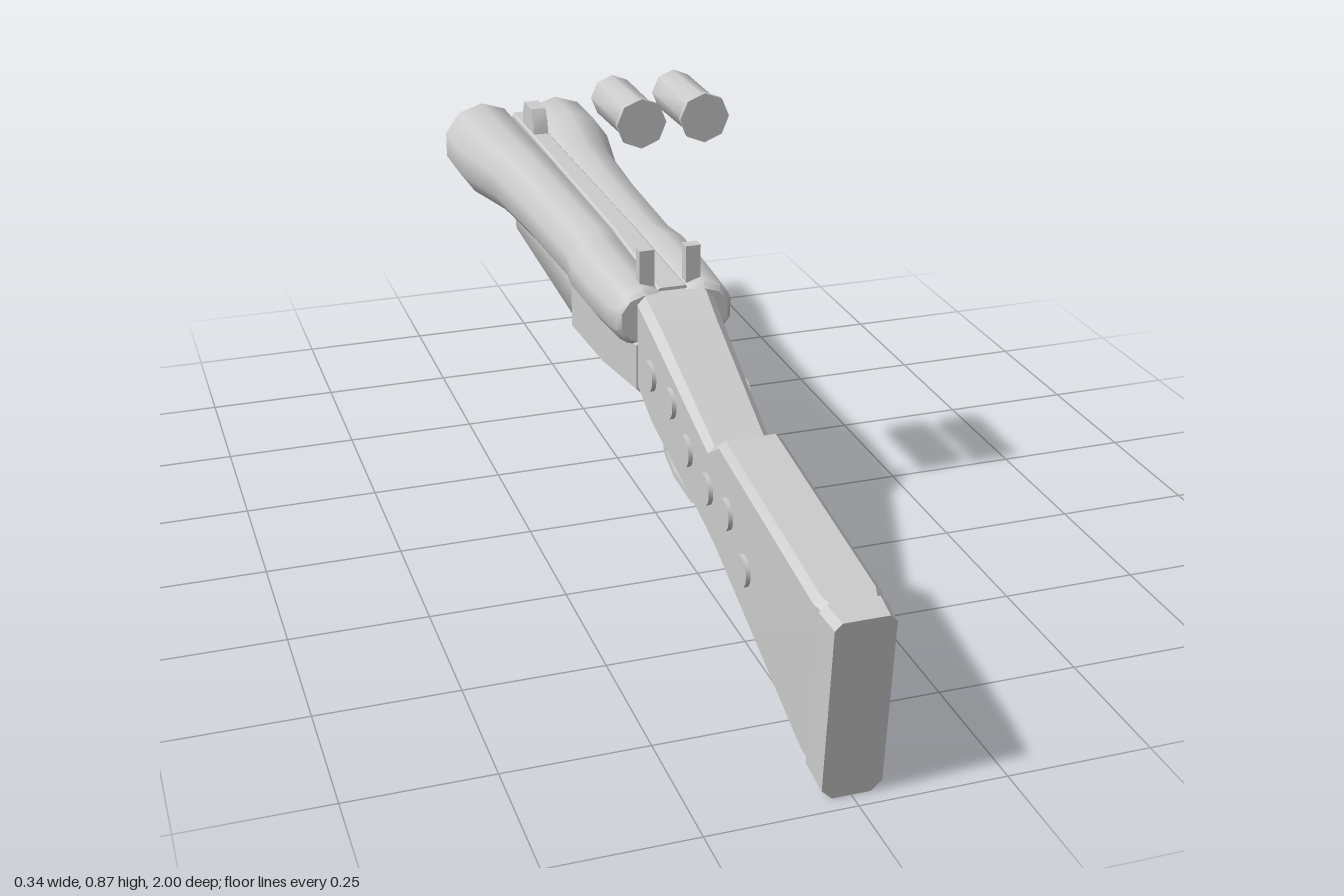
import * as THREE from 'three';
import { toCreasedNormals } from 'three/addons/utils/BufferGeometryUtils.js';

const grey = new THREE.MeshStandardMaterial({ color: 0xcccccc });
grey.name = 'plain grey';

function part(parent, name, geometry, crease = 0.7) {
  const mesh = new THREE.Mesh(toCreasedNormals(geometry, crease), grey);
  mesh.name = name;
  parent.add(mesh);
  return mesh;
}

// Chamfered-rectangle loft; sections run from +z to -z as
// [zTop, yTop, zBottom, yBottom, halfWidth, chamferTop, chamferBottom]
function loft(sections) {
  const pos = [], index = [], n = 8;
  for (const [zt, yt, zb, yb, w, ct, cb] of sections) {
    const ring = [[w - cb, yb], [w, yb + cb], [w, yt - ct], [w - ct, yt],
      [ct - w, yt], [-w, yt - ct], [-w, yb + cb], [cb - w, yb]];
    for (const [x, y] of ring) pos.push(x, y, zb + (zt - zb) * (y - yb) / (yt - yb));
  }
  for (let s = 0; s < sections.length - 1; s++) {
    for (let i = 0; i < n; i++) {
      const a = s * n + i, b = s * n + (i + 1) % n;
      index.push(a, a + n, b + n, a, b + n, b);
    }
  }
  const last = (sections.length - 1) * n;
  for (let i = 1; i < n - 1; i++) index.push(0, i, i + 1, last, last + i + 1, last + i);
  const g = new THREE.BufferGeometry();
  g.setAttribute('position', new THREE.Float32BufferAttribute(pos, 3));
  g.setIndex(index);
  return g;
}

// Lathe whose axis runs along z; profile is [radius, z]
function latheZ(profile, sides) {
  return new THREE.LatheGeometry(profile.map(([r, z]) => new THREE.Vector2(r, z)), sides).rotateX(Math.PI / 2);
}

// Side outline of [z, y] points, extruded across x
function sideExtrude(outline, width, hole) {
  const shape = new THREE.Shape(outline.map(p => new THREE.Vector2(...p)));
  if (hole) shape.holes.push(new THREE.Path(hole.map(p => new THREE.Vector2(...p))));
  return new THREE.ExtrudeGeometry(shape, { depth: width, bevelEnabled: false })
    .translate(0, 0, -width / 2).rotateY(-Math.PI / 2);
}

function box(w, h, d, x, y, z) {
  return new THREE.BoxGeometry(w, h, d).translate(x, y, z);
}

// Barrel rows: z, radius, distance of the axis from the middle
const barrelRows = [[-1, 0.088, 0.085], [-0.87, 0.088, 0.085], [-0.7, 0.074, 0.066], [-0.5, 0.069, 0.058],
  [-0.2, 0.066, 0.052], [-0.14, 0.066, 0.06], [-0.03, 0.064, 0.06], [0.08, 0.059, 0.058], [0.105, 0.055, 0.057], [0.115, 0.046, 0.057]];

function barrelGeometry(side) {
  const profile = [[0, -0.93], [0.066, -0.93], [0.07, -1], ...barrelRows.map(([z, r]) => [r, z]), [0, 0.115]];
  const g = latheZ(profile, 10);
  const p = g.attributes.position;
  for (let i = 0; i < p.count; i++) {
    const z = p.getZ(i);
    let k = 0;
    while (k < barrelRows.length - 2 && z > barrelRows[k + 1][0]) k++;
    const a = barrelRows[k], b = barrelRows[k + 1];
    const t = THREE.MathUtils.clamp((z - a[0]) / (b[0] - a[0]), 0, 1);
    p.setX(i, p.getX(i) + side * THREE.MathUtils.lerp(a[2], b[2], t));
  }
  return g.translate(0, 0.457, 0);
}

export function createModel() {
  const model = new THREE.Group();
  model.name = 'doubleBarrelModel';

  // Stock, butt plate, receiver and fore-end
  part(model, 'buttPlate', loft([
    [1, 0.325, 0.97, 0, 0.05, 0.012, 0.018],
    [0.95, 0.33, 0.915, 0.015, 0.055, 0.012, 0.02]]));
  part(model, 'stock', loft([
    [0.95, 0.33, 0.915, 0.018, 0.05, 0.012, 0.02],
    [0.93, 0.334, 0.895, 0.028, 0.056, 0.012, 0.022],
    [0.51, 0.395, 0.5, 0.172, 0.056, 0.012, 0.022],
    [0.46, 0.362, 0.45, 0.188, 0.057, 0.012, 0.022],
    [0.19, 0.473, 0.19, 0.268, 0.068, 0.015, 0.02],
    [0.12, 0.502, 0.12, 0.315, 0.072, 0.015, 0.015],
    [0.0, 0.502, 0.0, 0.32, 0.06, 0.015, 0.015]]));
  part(model, 'receiver', loft([
    [0.12, 0.42, 0.12, 0.312, 0.075, 0.01, 0.012],
    [-0.03, 0.42, -0.03, 0.3, 0.094, 0.01, 0.02],
    [-0.22, 0.42, -0.22, 0.29, 0.1, 0.01, 0.028]]));
  part(model, 'foreEnd', loft([
    [-0.22, 0.42, -0.22, 0.295, 0.095, 0.01, 0.04],
    [-0.7, 0.41, -0.7, 0.313, 0.087, 0.01, 0.04],
    [-0.755, 0.405, -0.755, 0.322, 0.075, 0.02, 0.035],
    [-0.775, 0.39, -0.775, 0.34, 0.055, 0.015, 0.02]]), 0.9);

  // Paired barrels with hammers behind
  for (const side of [1, -1]) {
    const name = side > 0 ? 'left' : 'right';
    part(model, name + 'Barrel', barrelGeometry(side));
    part(model, name + 'Hammer', box(0.028, 0.1, 0.022, side * 0.044, 0.527, 0.075));
  }
  part(model, 'barrelRib', loft([
    [0.1, 0.508, 0.1, 0.42, 0.028, 0.004, 0.004],
    [-0.2, 0.521, -0.2, 0.41, 0.022, 0.004, 0.004],
    [-0.8, 0.523, -0.8, 0.41, 0.02, 0.004, 0.004],
    [-0.98, 0.523, -0.98, 0.41, 0.02, 0.004, 0.004]]));
  part(model, 'frontSight', sideExtrude([[-0.805, 0.515], [-0.905, 0.515], [-0.895, 0.555], [-0.885, 0.575],
    [-0.825, 0.575], [-0.81, 0.55]].reverse(), 0.032));

  // Trigger guard ring and two triggers
  part(model, 'triggerGuard', sideExtrude(
    [[0.12, 0.325], [0.12, 0.19], [0.18, 0.167], [0.28, 0.163], [0.335, 0.19], [0.343, 0.245], [0.3, 0.26], [0.19, 0.3]],
    0.046,
    [[0.132, 0.31], [0.185, 0.285], [0.3, 0.245], [0.33, 0.235], [0.325, 0.198], [0.277, 0.175], [0.182, 0.179], [0.132, 0.199]]));
  for (const [i, z] of [0.185, 0.275].entries()) {
    const y = i ? 0.235 : 0.25;
    part(model, i ? 'rearTrigger' : 'frontTrigger', sideExtrude(
      [[z - 0.02, y], [z + 0.01, y - 0.005], [z + 0.03, y + 0.045], [z - 0.005, y + 0.06]], 0.02));
  }

  // Thin round studs along both sides of the stock: z, y, half width
  const studs = [[0.64, 0.225, 0.06], [0.555, 0.285, 0.06], [0.46, 0.285, 0.061],
    [0.37, 0.315, 0.066], [0.29, 0.37, 0.069], [0.19, 0.38, 0.073]];
  for (const side of [1, -1]) {
    for (const [z, y, x] of studs) {
      part(model, 'stockStud', new THREE.CylinderGeometry(0.028, 0.028, 0.008, 16)
        .rotateZ(Math.PI / 2).translate(side * x, y, z));
    }
  }
  part(model, 'stockDisc', new THREE.CylinderGeometry(0.088, 0.088, 0.004, 24)
    .rotateZ(Math.PI / 2).translate(0.0555, 0.19, 0.8));

  // Two loose rounds floating above
  for (const side of [1, -1]) {
    part(model, 'floatingRound', latheZ([[0, -0.093], [0.03, -0.09], [0.04, -0.075], [0.038, 0.09],
      [0.045, 0.092], [0.045, 0.102], [0, 0.102]], 8).translate(side * 0.058, 0.82, 0), 0.8);
  }
  return model;
}
